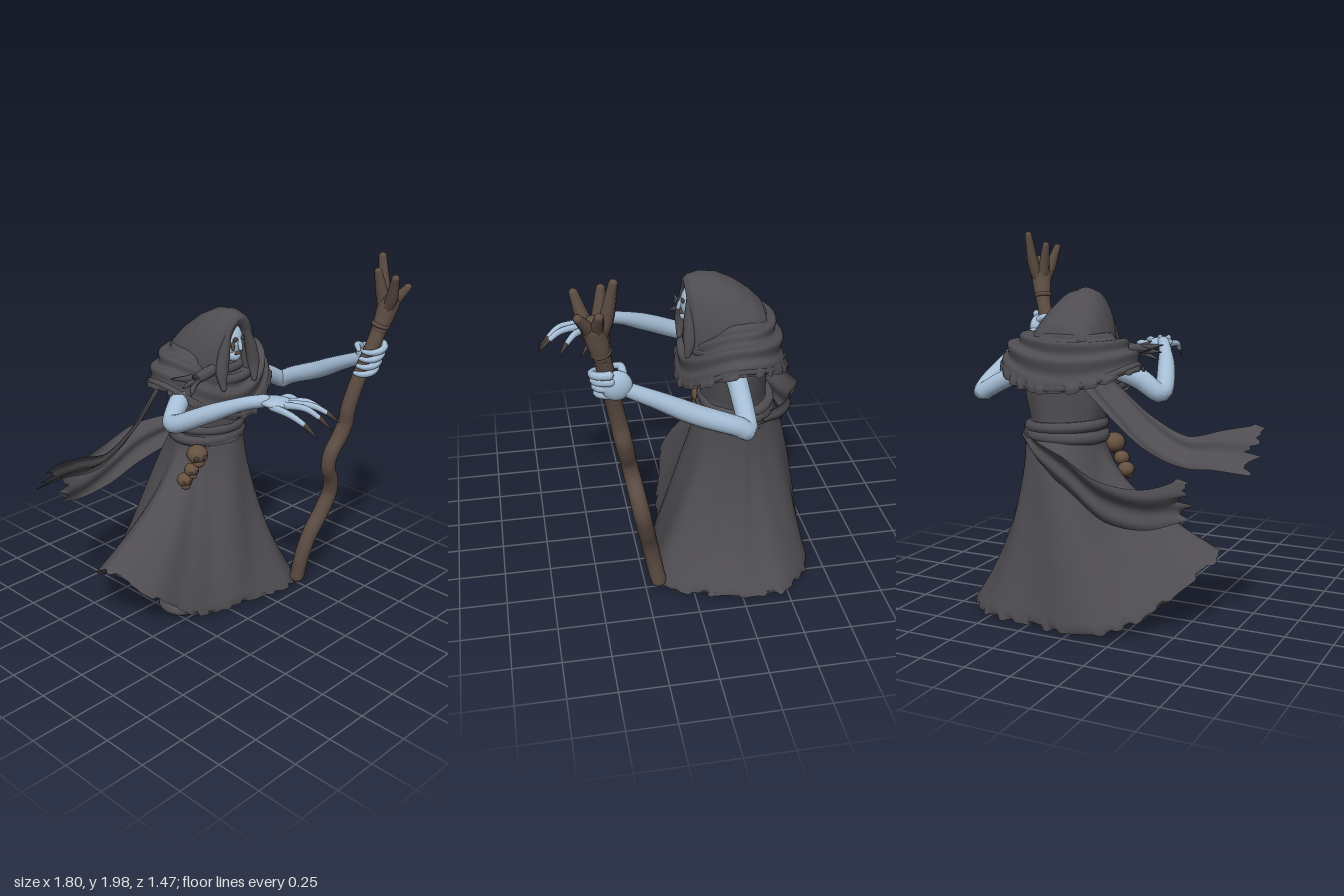
import * as THREE from 'three';
import { mergeGeometries } from 'three/addons/utils/BufferGeometryUtils.js';

const paint = (name, color, side = THREE.FrontSide) => {
  const m = new THREE.MeshStandardMaterial({ color, side });
  m.name = name;
  return m;
};
const V = (x, y, z) => new THREE.Vector3(x, y, z);
const vecs = (list) => list.map((p) => V(...p));
const hash = (i) => { const s = Math.sin(i * 12.9898 + 4.1) * 43758.5453; return s - Math.floor(s); };
const TAU = Math.PI * 2;

// Linear lookup in a short list, t from 0 to 1
function sample(list, t) {
  const f = Math.min(t, 0.99999) * (list.length - 1), i = Math.floor(f);
  return list[i] + (list[i + 1] - list[i]) * (f - i);
}

// Surface through a grid of points; columns wrap around when closed
function loft(rows, cols, closed, point) {
  const pos = [], idx = [], n = closed ? cols : cols + 1;
  for (let r = 0; r <= rows; r++)
    for (let c = 0; c < n; c++) pos.push(...point(r / rows, c / cols, c).toArray());
  for (let r = 0; r < rows; r++)
    for (let c = 0; c < cols; c++) {
      const a = r * n + c, b = r * n + (c + 1) % n;
      idx.push(a, b, a + n, b, b + n, a + n);
    }
  const g = new THREE.BufferGeometry();
  g.setAttribute('position', new THREE.Float32BufferAttribute(pos, 3));
  g.setIndex(idx);
  g.computeVertexNormals();
  return g;
}

// Tapered tube with rounded ends
function limb(points, radii, sides = 10, steps = points.length * 5) {
  const path = new THREE.CatmullRomCurve3(vecs(points), false, 'centripetal');
  const g = new THREE.TubeGeometry(path, steps, 1, sides);
  const p = g.attributes.position, v = V(0, 0, 0);
  for (let i = 0; i < p.count; i++) {
    const t = Math.floor(i / (sides + 1)) / steps, c = path.getPointAt(t);
    v.fromBufferAttribute(p, i).sub(c).multiplyScalar(sample(radii, t)).add(c);
    p.setXYZ(i, v.x, v.y, v.z);
  }
  const ends = [0, 1].map((t) => {
    const c = path.getPointAt(t);
    return new THREE.SphereGeometry(sample(radii, t), sides, 6).translate(c.x, c.y, c.z);
  });
  return mergeGeometries([g, ...ends]);
}

export function createModel() {
  const root = new THREE.Group();
  const robe = paint('charcoal cloth', 0x4f4d51, THREE.DoubleSide);
  const skin = paint('pale blue skin', 0xa6bed6);
  const wood = paint('staff wood', 0x5e4e44);
  const bone = paint('old bone', 0x665140);
  const claw = paint('dark claw', 0x483d39);
  const add = (name, geo, mat, parent = root) => {
    const m = new THREE.Mesh(geo, mat);
    m.name = name;
    parent.add(m);
    return m;
  };
  const ball = (name, mat, at, size, parent) => {
    const m = add(name, new THREE.SphereGeometry(1, 20, 14), mat, parent);
    m.position.set(...at);
    m.scale.set(...size);
    return m;
  };

  // Skirt: waist ellipse spreading to a windblown ragged hem
  const hem = new THREE.CatmullRomCurve3(vecs([
    [.7, .02, -.3], [.67, .02, -.1], [.6, .01, .05], [.46, .01, .19], [.25, .02, .18], [.05, .02, .13],
    [-.16, .03, .1], [-.33, .11, .06], [-.51, .26, 0], [-.66, .39, -.2], [-.57, .29, -.38], [-.42, .14, -.53],
    [-.23, .04, -.69], [.05, .02, -.72], [.3, .02, -.69], [.53, .02, -.64], [.7, .02, -.48],
  ]), true);
  add('skirt', loft(28, 180, true, (t, u, c) => {
    const h = hem.getPoint(u);
    const a = Math.atan2(h.z + .27, h.x - .1), ca = Math.cos(a), sa = Math.sin(a);
    const power = .85 + .2 * sa + ca * ca * (ca > 0 ? 1.5 : .85);
    const k = Math.pow(t, power);
    const fold = (Math.sin(u * TAU * 11) * .006 + Math.sin(u * TAU * 7 + 1) * .008) * Math.sin(t * 2.2);
    const rag = t === 1 ? hash(Math.floor(c / 2)) * .028 : 0;
    return V(
      THREE.MathUtils.lerp(.22 + .215 * ca, h.x, k) + ca * (fold - rag),
      THREE.MathUtils.lerp(.96, h.y, t) + rag * .5,
      THREE.MathUtils.lerp(-.285 + .195 * sa, h.z, k) + sa * (fold - rag));
  }), robe);

  // Underside closing the skirt, with pale skin glimpsed near its rim
  add('skirtUnderside', loft(6, 90, true, (t, u) =>
    hem.getPoint(u).lerp(V(.1, .06, -.27), .04 + .96 * t).add(V(0, .02, 0))), robe);
  [[.28, -.62], [.18, -.64], [.09, -.63], [.52, .06], [.42, .12], [.3, .12]].forEach(([x, z]) =>
    ball('skinUnderHem', skin, [x, .034, z], [.035, .008, .02]));

  // Torso
  add('torso', loft(20, 48, true, (t, u) => {
    const a = u * TAU, f = 1 + Math.sin(a * 9) * .012;
    return V(.21 + Math.cos(a) * sample([.08, .22, .25, .23, .205, .21], t) * f, 1.44 - t * .5,
      -.27 + Math.sin(a) * sample([.09, .16, .17, .17, .17, .195], t) * f);
  }), robe);

  // Belt: two wound bands
  [[.965, .036, .02], [1.015, .03, -.06]].forEach(([y, r, tilt]) => {
    const band = add('belt', new THREE.TorusGeometry(.195, r, 10, 48), robe);
    band.rotation.set(Math.PI / 2, tilt, 0);
    band.scale.set(1.02, .9, 1);
    band.position.set(.212, y, -.285);
  });

  // Shawl: draped over the shoulders with ruffled edge
  add('shawl', loft(30, 150, true, (t, u, c) => {
    const a = u * TAU, ca = Math.cos(a), sa = Math.sin(a), s2 = sa * sa, front = Math.max(sa, 0);
    const out = Math.sin(t * Math.PI / 2), drop = 1 - Math.cos(t * Math.PI / 2);
    const top = 1.5 - .12 * front * front;
    const low = 1.32 - (sa > 0 ? .2 : .11) * s2;
    const fold = Math.sin(t * 22 + ca * 1.5) * .014 * Math.sin(t * Math.PI);
    const ruff = t > .9 ? (hash(Math.floor(c / 2)) - .5) * .025 + .01 : 0;
    return V(.2 + ca * (.16 + .225 * out + fold + ruff),
      THREE.MathUtils.lerp(top, low, drop) + fold * .8 - ruff * .4,
      -.25 + sa * (.16 + .115 * out + fold + ruff));
  }), robe);
  const edge = new THREE.CatmullRomCurve3(Array.from({ length: 40 }, (_, i) => {
    const a = i / 40 * TAU, sa = Math.sin(a);
    return V(.2 + Math.cos(a) * .375, 1.34 - (sa > 0 ? .2 : .11) * sa * sa, -.25 + sa * .265);
  }), true);
  add('shawlEdge', new THREE.TubeGeometry(edge, 100, .019, 8, true), robe);

  // Thick collar folds below the chin and behind the neck
  [[.2, 1.42, .185, .026], [.2, 1.37, .235, .028]].forEach(([x, y, r, w], i) => {
    const fold = add('collarFold', new THREE.TorusGeometry(r, w, 10, 48), robe);
    fold.rotation.x = Math.PI / 2 + .22 - i * .06;
    fold.scale.y = .86;
    fold.position.set(x, y, -.23);
  });

  // Hood: arches from the inner rim over the crown to the nape
  const hoodZ = [-.05, -.015, -.005, -.03, -.09, -.18, -.27, -.35, -.41, -.435];
  const hoodW = [.08, .09, .12, .16, .18, .2, .205, .195, .165, .08];
  const hoodTop = [1.62, 1.645, 1.68, 1.705, 1.718, 1.705, 1.66, 1.6, 1.54, 1.45];
  add('hood', loft(36, 40, false, (t, u) => {
    const a = (u - .5) * Math.PI, s = Math.sin(a), c = Math.max(Math.cos(a), 0);
    const base = 1.34 + .05 * t, crease = 1 + .02 * Math.sin(a * 7 + t * 9) * t;
    return V(.19 + s * sample(hoodW, t) * crease, base + (sample(hoodTop, t) - base) * Math.pow(c, .9),
      sample(hoodZ, t) - (1 - c) * .03 * (1 - t));
  }), robe);
  [-1, 1].forEach((k) => add('hoodLappet', limb([
    [.185 + k * .075, 1.6, -.03], [.185 + k * .105, 1.5, -.025], [.185 + k * .125, 1.39, -.02], [.185 + k * .12, 1.31, -.01],
  ], [.02, .034, .036, .015]), robe));

  // Face
  const face = new THREE.Group();
  face.name = 'face';
  root.add(face);
  ball('head', skin, [.175, 1.55, -.065], [.062, .1, .07], face);
  ball('jaw', skin, [.165, 1.475, -.035], [.036, .035, .042], face);
  add('nose', limb([[.175, 1.57, -.005], [.172, 1.54, .008], [.17, 1.52, .014]], [.01, .013, .011], 8), skin, face);
  [-1, 1].forEach((k) => ball('eyeSocket', claw, [.173 + k * .026, 1.57, -.004], [.017, .013, .009], face));
  ball('mouth', bone, [.165, 1.494, -.001], [.028, .009, .008], face);
  ball('cheekShadow', bone, [.138, 1.535, -.012], [.012, .028, .008], face);

  // Arms: sharply bent elbows
  add('leftArm', limb([[.46, 1.28, -.22], [.62, 1.215, -.22], [.74, 1.15, -.22], [.775, 1.13, -.215], [.785, 1.16, -.17],
    [.785, 1.25, .04], [.775, 1.34, .22], [.765, 1.41, .37]], [.055, .052, .05, .05, .052, .05, .042, .036], 14, 48), skin);
  add('rightArm', limb([[-.03, 1.31, -.18], [-.15, 1.25, -.14], [-.235, 1.18, -.1], [-.245, 1.185, -.06],
    [-.18, 1.28, .13], [-.1, 1.36, .3], [-.05, 1.385, .39]], [.06, .056, .05, .05, .047, .036, .034], 14, 48), skin);

  // Open right hand with clawed fingers: base, knuckle, tip
  const palm = ball('rightPalm', skin, [-.015, 1.38, .435], [.07, .027, .09]);
  palm.rotation.y = .35;
  [
    [[-.06, 1.37, .45], [-.06, 1.36, .57], [-.025, 1.27, .72]],
    [[-.025, 1.38, .48], [.01, 1.385, .61], [.07, 1.29, .73]],
    [[.005, 1.38, .48], [.065, 1.385, .61], [.13, 1.31, .73]],
    [[.025, 1.375, .46], [.1, 1.38, .54], [.18, 1.3, .63]],
    [[.02, 1.365, .4], [.11, 1.37, .42], [.165, 1.28, .52]],
  ].forEach(([a, b, c]) => {
    const mid = b.map((v, i) => v + (c[i] - v) * .55 + (i === 1 ? .012 : 0));
    add('rightFinger', limb([a, b, mid], [.021, .018, .013], 8), skin);
    add('rightClaw', limb([mid, c], [.014, .002], 8), claw);
  });

  // Left hand closed around the staff
  const fist = ball('leftPalm', skin, [.77, 1.435, .41], [.045, .075, .075]);
  fist.rotation.x = -.3;
  [1.375, 1.415, 1.455, 1.495].forEach((y, i) => {
    const cx = .71 + i * .012, cz = .435 + i * .008;
    const arc = Array.from({ length: 8 }, (_, k) => {
      const a = -.2 + k / 7 * 3.6;
      return [cx + Math.cos(a) * .062, y + .015 * Math.cos(a), cz + Math.sin(a) * .062];
    });
    add('leftFinger', limb(arc, [.022, .02, .018, .013], 8), skin);
  });
  add('leftThumb', limb([[.77, 1.47, .38], [.71, 1.5, .38], [.67, 1.49, .42]], [.024, .02, .013], 8), skin);

  // Crooked staff leaning outward, with a forked head
  const staff = new THREE.Group();
  staff.name = 'staff';
  root.add(staff);
  const bends = [[.5, .06], [.505, .2], [.54, .35], [.605, .48], [.645, .6], [.625, .7], [.575, .79], [.575, .88],
    [.625, .98], [.65, 1.06], [.645, 1.14], [.665, 1.26], [.705, 1.4], [.745, 1.5], [.775, 1.6]];
  add('staffShaft', limb(bends.map(([x, y]) => [x, y, .17 + .19 * y]),
    [.043, .044, .046, .044, .042, .045, .042, .04, .042], 12), wood, staff);
  add('staffHead', limb([[.775, 1.6, .475], [.79, 1.67, .49], [.803, 1.75, .505]], [.045, .053, .062], 12), wood, staff);
  const ring = add('staffCollar', new THREE.TorusGeometry(.04, .013, 8, 24), wood, staff);
  ring.rotation.set(Math.PI / 2 + .2, -.2, 0);
  ring.position.set(.776, 1.62, .478);
  [[.735, 1.9, .585], [.86, 1.83, .58], [.875, 1.835, .49], [.838, 1.975, .42], [.745, 1.915, .465]].forEach(([x, y, z]) =>
    add('staffProng', limb([[.79, 1.68, .49], [.8 + (x - .8) * .5, 1.77, .5 + (z - .5) * .5], [x, y, z]],
      [.034, .034, .022], 8), wood, staff));

  // Streaming strips of cloth: path plus half width vector
  const ribbon = (name, pts, half, widths) => {
    const path = new THREE.CatmullRomCurve3(vecs(pts));
    add(name, loft(40, 16, false, (t, u, c) => {
      const p = path.getPoint(t), w = (u - .5) * 2 * sample(widths, t);
      const wave = .014 * Math.sin(u * 9 + t * 5);
      const rag = t > .94 ? (hash(c) - .5) * .1 * (t - .94) / .06 : 0;
      return V(p.x + rag, p.y + half[1] * w, p.z + half[2] * w + wave);
    }), robe);
  };
  ribbon('shoulderScarf', [[.02, 1.3, -.42], [-.14, 1.16, -.4], [-.3, 1.03, -.39], [-.5, .945, -.38],
    [-.68, .97, -.38], [-.86, .985, -.37]], [0, .085, .07], [.7, .9, .9, .8, 1, 1.25]);
  ribbon('waistSash', [[.42, .95, -.38], [.26, .9, -.53], [.02, .83, -.65], [-.2, .73, -.7],
    [-.42, .71, -.68], [-.6, .765, -.62]], [0, .1, -.025], [.4, .7, 1, 1.1, 1.05, 1.05]);

  // Ragged tuft on the right shoulder
  [[-.25, 1.43, -.08], [-.22, 1.385, -.03], [-.19, 1.34, 0], [-.16, 1.44, -.02], [-.2, 1.41, -.13]].forEach((tip) =>
    add('shoulderTuft', limb([[.04, 1.42, -.06], [-.08, 1.4, -.06], tip], [.03, .028, .003], 7), robe));

  // Small skulls hanging from the belt
  [[.0, .905, -.15, .06], [-.045, .825, -.15, .042], [-.08, .77, -.17, .045]].forEach(([x, y, z, r]) => {
    const skull = new THREE.Group();
    skull.name = 'beltSkull';
    skull.position.set(x, y, z);
    skull.rotation.y = -.4;
    root.add(skull);
    ball('cranium', bone, [0, 0, 0], [r, r * .9, r], skull);
    ball('skullJaw', bone, [0, -r * .7, r * .4], [r * .6, r * .45, r * .5], skull);
    [-1, 1].forEach((k) => ball('skullEye', claw, [k * r * .4, -r * .1, r * .86], [r * .25, r * .25, r * .15], skull));
  });

  // Shoe peeking out under the raised hem
  ball('shoe', robe, [-.22, .065, -.09], [.1, .05, .12]);

  return root;
}
